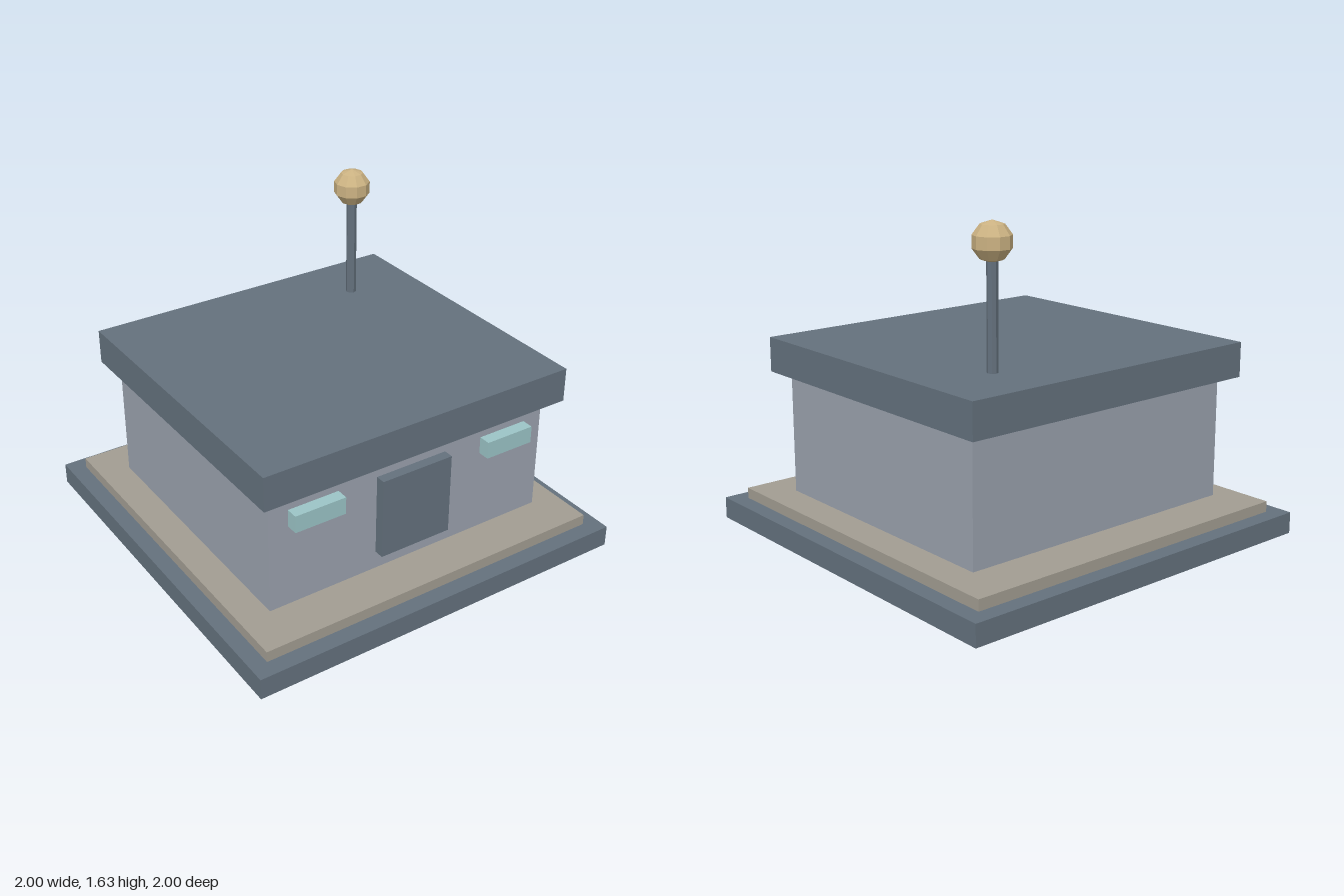
import * as THREE from 'three';

const paint = (name, color, flatShading = false) => {
  const m = new THREE.MeshStandardMaterial({ color, flatShading });
  m.name = name;
  return m;
};

export function createModel() {
  const group = new THREE.Group();
  const slate = paint('slate', 0x64717d, true);
  const stone = paint('stone', 0xa29d92, true);
  const wall = paint('wall grey', 0x9aa1ad, true);
  const glass = paint('pale teal', 0x9bc4c6, true);
  const brass = paint('brass', 0xcbb282, true);

  const add = (name, geometry, material, x, y, z) => {
    const mesh = new THREE.Mesh(geometry, material);
    mesh.name = name;
    mesh.position.set(x, y, z);
    group.add(mesh);
  };
  // Box given by its width, depth and vertical span
  const block = (name, material, w, d, y0, y1, x = 0, z = 0) =>
    add(name, new THREE.BoxGeometry(w, y1 - y0, d), material, x, (y0 + y1) / 2, z);

  // Stepped foundation
  block('base', slate, 2, 2, 0, 0.107);
  block('plinth', stone, 1.834, 1.834, 0.107, 0.161);

  // Building and overhanging roof
  block('walls', wall, 1.536, 1.4, 0.17, 0.78);
  block('roof', slate, 1.666, 1.566, 0.78, 0.953);

  // Front door and windows, standing proud of the wall
  block('door', slate, 0.385, 0.05, 0.262, 0.676, 0, 0.725);
  for (const side of [-1, 1]) {
    block(side > 0 ? 'leftWindow' : 'rightWindow', glass, 0.264, 0.06, 0.593, 0.68, side * 0.533, 0.73);
  }

  // Roof mast with a faceted ball
  add('mast', new THREE.CylinderGeometry(0.026, 0.026, 0.52, 8), slate, 0.465, 1.21, -0.47);
  add('mastBall', new THREE.SphereGeometry(0.094, 10, 5), brass, 0.465, 1.532, -0.47);

  return group;
}
